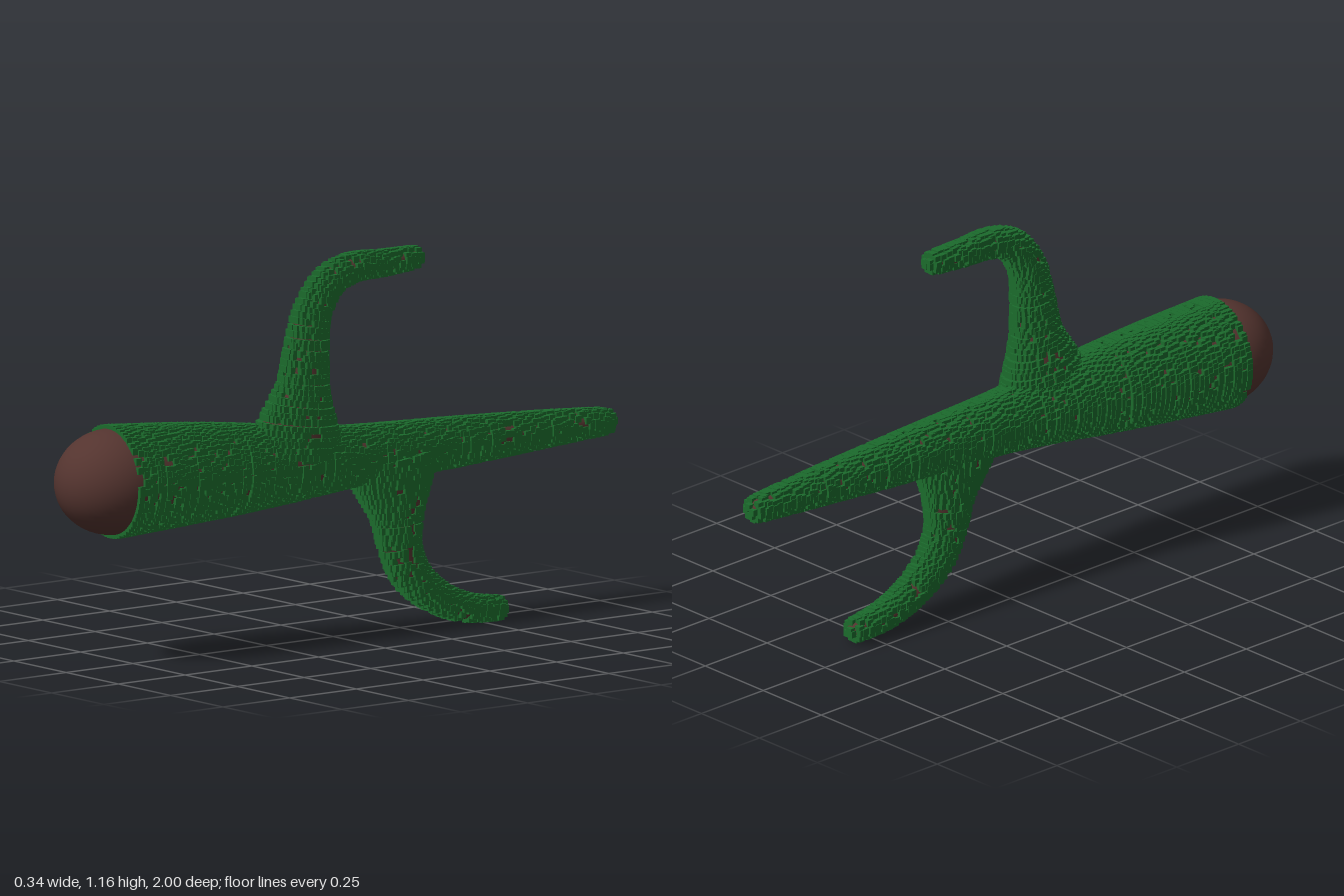
import * as THREE from 'three';
import { mergeGeometries } from 'three/addons/utils/BufferGeometryUtils.js';

const X = new THREE.Vector3(1, 0, 0);
const CUBE = 0.02;

// Repeatable random numbers
function seeded(seed) {
  return () => {
    seed = (seed * 1664525 + 1013904223) % 4294967296;
    return seed / 4294967296;
  };
}

// A tapered limb from stations [x, y, z, half width in x, half depth across]
function makeLimb(stations) {
  const path = new THREE.CatmullRomCurve3(stations.map(s => new THREE.Vector3(s[0], s[1], s[2])));
  const girth = new THREE.CatmullRomCurve3(stations.map(s => new THREE.Vector3(s[3], s[4], 0)));
  const length = path.getLength();
  const radiiAt = u => {
    const r = girth.getPoint(path.getUtoTmapping(u));
    // round off the tip
    const left = (1 - u) * length;
    if (left < r.y) r.multiplyScalar(Math.sqrt(Math.max(0, 1 - (1 - left / r.y) ** 2)));
    return r;
  };
  const ringAt = u => {
    const centre = path.getPointAt(u);
    const tangent = path.getTangentAt(u);
    const side = X.clone().addScaledVector(tangent, -tangent.x).normalize();
    const up = tangent.clone().cross(side);
    const r = radiiAt(u);
    return a => centre.clone()
      .addScaledVector(side, Math.cos(a) * r.x)
      .addScaledVector(up, Math.sin(a) * r.y);
  };
  return { length, radiiAt, ringAt };
}

// Smooth bark skin
function barkGeometry(limb, rows = 90, sides = 32) {
  const pos = [], index = [];
  for (let i = 0; i <= rows; i++) {
    const ring = limb.ringAt(1 - (1 - i / rows) ** 1.5);
    for (let j = 0; j < sides; j++) {
      pos.push(...ring(j / sides * Math.PI * 2).toArray());
      if (i === rows) continue;
      const a = i * sides + j, b = i * sides + (j + 1) % sides;
      index.push(a, b, a + sides, b, b + sides, a + sides);
    }
  }
  const geo = new THREE.BufferGeometry();
  geo.setAttribute('position', new THREE.Float32BufferAttribute(pos, 3));
  geo.setIndex(index);
  geo.computeVertexNormals();
  return geo;
}

// Upright little cubes strewn closely over the skin
function mossGeometry(limb, random) {
  const step = 0.0168, boxes = [];
  const rows = Math.round(limb.length / step);
  for (let i = 0; i <= rows; i++) {
    const u = Math.min(1, Math.max(0, (i + (random() - 0.5) * 0.6) / rows));
    const r = limb.radiiAt(u), ring = limb.ringAt(u);
    const count = Math.max(1, Math.round(Math.PI * (r.x + r.y) / step));
    const turn = random() * 6.28;
    for (let j = 0; j < count; j++) {
      if (random() < 0.08) continue;
      const p = ring(turn + (j + (random() - 0.5) * 0.6) / count * Math.PI * 2);
      boxes.push(new THREE.BoxGeometry(CUBE, CUBE, CUBE).translate(p.x, p.y, p.z));
    }
  }
  return mergeGeometries(boxes);
}

export function createModel() {
  const model = new THREE.Group();
  model.name = 'mossyBranch';
  const bark = new THREE.MeshStandardMaterial({ color: 0x54342f });
  const moss = new THREE.MeshStandardMaterial({ color: 0x1b6b2c });
  const random = seeded(7);

  const limbs = {
    trunk: [
      [-0.01, 0.568, 0.82, 0.157, 0.159],
      [0.01, 0.568, 0.6, 0.141, 0.144],
      [0.03, 0.566, 0.4, 0.119, 0.127],
      [0.05, 0.563, 0.2, 0.099, 0.104],
      [0.058, 0.563, 0, 0.082, 0.084],
      [0.062, 0.565, -0.4, 0.065, 0.066],
      [0.066, 0.568, -0.75, 0.046, 0.046],
      [0.068, 0.568, -0.99, 0.03, 0.03],
    ],
    upperTwig: [
      [0.07, 0.6, 0.2, 0.085, 0.165],
      [0.076, 0.7, 0.19, 0.073, 0.117],
      [0.082, 0.8, 0.177, 0.058, 0.072],
      [0.084, 0.9, 0.167, 0.05, 0.06],
      [0.085, 1.01, 0.147, 0.044, 0.048],
      [0.085, 1.1, 0.085, 0.04, 0.04],
      [0.085, 1.133, 0, 0.037, 0.036],
      [0.085, 1.135, -0.12, 0.032, 0.031],
      [0.085, 1.14, -0.255, 0.025, 0.025],
    ],
    lowerTwig: [
      [0.07, 0.54, -0.16, 0.078, 0.16],
      [0.074, 0.45, -0.17, 0.064, 0.115],
      [0.078, 0.37, -0.178, 0.054, 0.076],
      [0.08, 0.28, -0.187, 0.047, 0.057],
      [0.08, 0.19, -0.228, 0.044, 0.05],
      [0.08, 0.115, -0.32, 0.04, 0.041],
      [0.08, 0.07, -0.43, 0.036, 0.035],
      [0.08, 0.052, -0.575, 0.027, 0.027],
    ],
  };

  for (const [name, stations] of Object.entries(limbs)) {
    const limb = makeLimb(stations);
    const group = new THREE.Group();
    group.name = name;
    const skin = new THREE.Mesh(barkGeometry(limb), bark);
    skin.name = name + 'Bark';
    const cover = new THREE.Mesh(mossGeometry(limb, random), moss);
    cover.name = name + 'Moss';
    group.add(skin, cover);
    model.add(group);
  }

  // Bare rounded butt end of the trunk
  const butt = new THREE.Mesh(new THREE.SphereGeometry(0.158, 40, 28), bark);
  butt.name = 'buttEnd';
  butt.position.set(-0.01, 0.568, 0.82);
  butt.scale.z = 1.14;
  model.add(butt);

  return model;
}
